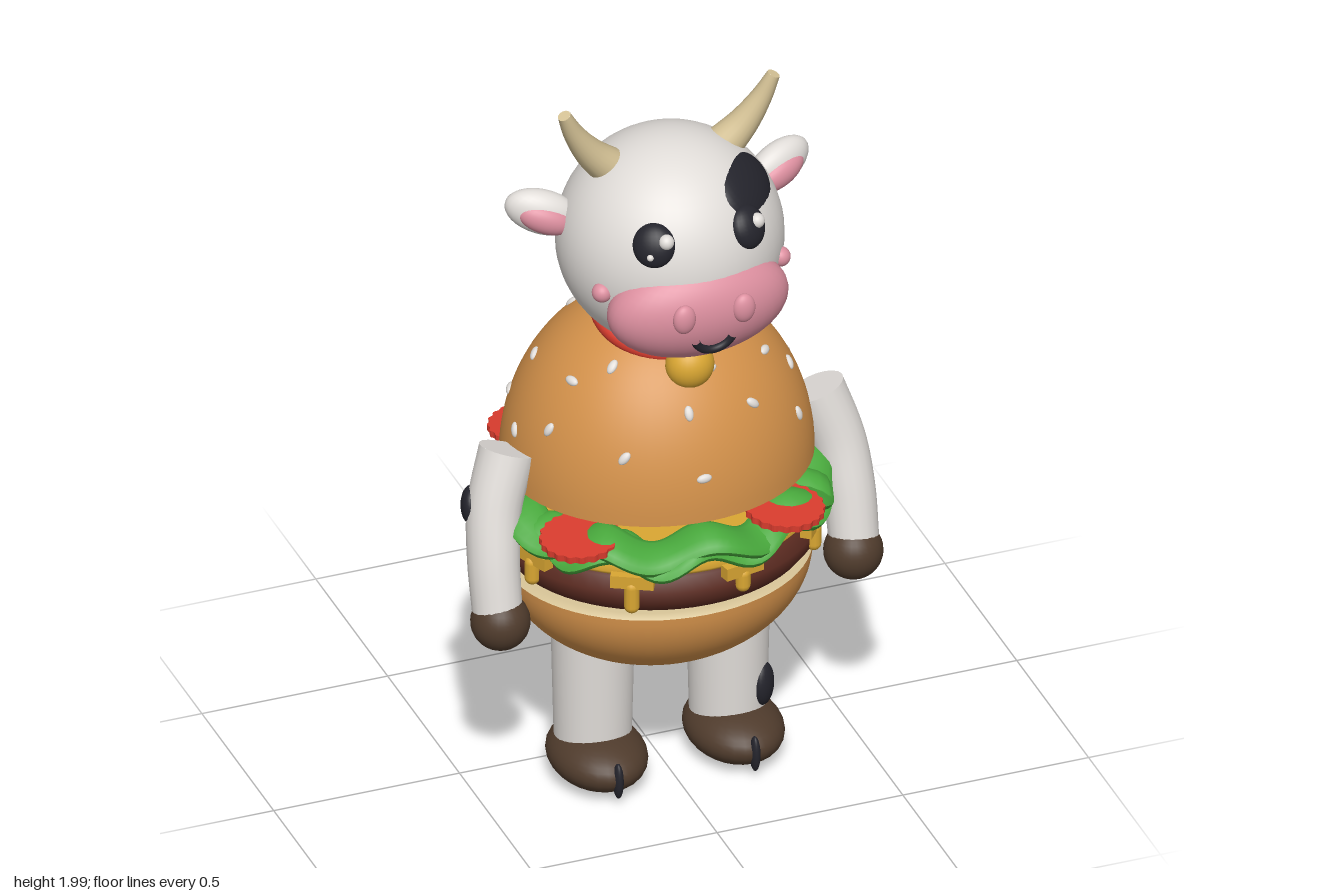
import * as THREE from 'three';
import { mergeGeometries } from 'three/addons/utils/BufferGeometryUtils.js';

const V = (x, y, z) => new THREE.Vector3(x, y, z);
const mat = (name, color) => {
  const m = new THREE.MeshStandardMaterial({ color });
  m.name = name;
  return m;
};
const CZ = 0.08; // depth centre of the burger body

// Tapered tube with flat ends along a smooth path
function taperedTube(points, r0, r1, n = 20, sides = 20) {
  const path = new THREE.CatmullRomCurve3(points.map(p => V(...p)));
  const tube = new THREE.TubeGeometry(path, n, 1, sides);
  const pos = tube.attributes.position, v = V(0, 0, 0);
  for (let i = 0; i <= n; i++) {
    const c = path.getPointAt(i / n), r = r0 + (r1 - r0) * i / n;
    for (let j = 0; j <= sides; j++) {
      const k = i * (sides + 1) + j;
      v.fromBufferAttribute(pos, k).sub(c).multiplyScalar(r).add(c);
      pos.setXYZ(k, v.x, v.y, v.z);
    }
  }
  const cap = (u, r, sign) => {
    const p = path.getPointAt(u);
    const q = new THREE.Quaternion().setFromUnitVectors(V(0, 0, 1), path.getTangentAt(u).multiplyScalar(sign));
    return new THREE.CircleGeometry(r, sides).applyQuaternion(q).translate(p.x, p.y, p.z);
  };
  return mergeGeometries([tube, cap(0, r0, -1), cap(1, r1, 1)]);
}

// Ruffled leaf ring: a flattened torus with waves
function leafRing(phase, waves, radius, lift) {
  const g = new THREE.TorusGeometry(radius, 0.045, 12, 140).rotateX(Math.PI / 2);
  const p = g.attributes.position;
  for (let i = 0; i < p.count; i++) {
    const x = p.getX(i), z = p.getZ(i), a = Math.atan2(z, x), r = Math.hypot(x, z);
    const w = Math.sin(waves * a + phase);
    const nr = radius + (r - radius) * 1.35 + 0.012 * Math.cos(waves * a + phase * 2);
    p.setXYZ(i, Math.cos(a) * nr, p.getY(i) * 0.6 + 0.022 * w + lift - (r - radius) * 0.25, Math.sin(a) * nr * 0.935);
  }
  g.computeVertexNormals();
  return g;
}

export function createModel() {
  const white = mat('hide white', 0xe0dcd8), black = mat('charcoal', 0x24242c);
  const pink = mat('pink', 0xdc8f9f), bun = mat('bun brown', 0xd3914a);
  const red = mat('red', 0xd93c2e), green = mat('leaf green', 0x48a83c);
  const gold = mat('cheese gold', 0xd9a632), meat = mat('patty brown', 0x5a2a20);
  const hoof = mat('hoof brown', 0x4f3b2c), cream = mat('cream', 0xd8c598);

  const model = new THREE.Group();
  model.name = 'burgerCow';
  const add = (name, geo, m, pos = [0, 0, 0], rot = [0, 0, 0]) => {
    const mesh = new THREE.Mesh(geo, m);
    mesh.name = name;
    mesh.position.set(...pos);
    mesh.rotation.set(...rot);
    model.add(mesh);
    return mesh;
  };
  const ball = (name, m, pos, size, rot, seg = 28) =>
    add(name, new THREE.SphereGeometry(1, seg, Math.ceil(seg * 0.7)).scale(...size), m, pos, rot);
  const lathe = (name, pts, m, y, depth) =>
    add(name, new THREE.LatheGeometry(pts.map(p => new THREE.Vector2(...p)), 64).scale(1, 1, depth), m, [0, y, CZ]);
  // Ellipsoid whose local z axis points along a direction
  const facing = (name, m, pos, dir, size, spin = 0, seg = 24) => {
    const b = ball(name, m, pos, size, [0, 0, 0], seg);
    b.quaternion.setFromUnitVectors(V(0, 0, 1), V(...dir).normalize());
    b.rotateZ(spin);
    return b;
  };

  // Buns: quarter-ellipse domes with flat cut faces
  const dome = (r, h) => Array.from({ length: 25 }, (_, i) => {
    const a = i / 24 * Math.PI / 2;
    return [i === 24 ? 0 : r * Math.cos(a), h * Math.sin(a)];
  });
  lathe('topBun', dome(0.4, 0.47), bun, 0.9, 0.935);
  add('topBunCutFace', new THREE.CircleGeometry(0.4, 64).rotateX(Math.PI / 2).scale(1, 1, 0.935), bun, [0, 0.9, CZ]);
  lathe('bottomBun', dome(0.397, -0.275).reverse(), bun, 0.615, 0.9);
  lathe('bottomBunCutFace', [[0.397, 0], [0.38, 0.012], [0, 0.012]], cream, 0.615, 0.9);

  // Sesame seeds, as angle around the bun and height
  const seeds = [[-0.09, 1.18], [-0.57, 1.08], [-0.03, 1.02], [0.47, 1.16], [0.92, 1.06], [-0.82, 1.27],
    [0.94, 1.23], [-1.17, 1.22], [-1.57, 1.04], [1.18, 1.155], [1.7, 1.09], [2.05, 1.16], [2.36, 1.255],
    [2.62, 1.08], [1.67, 1.235], [-2.95, 1.06], [2.85, 1.127], [-2.77, 1.17], [-3, 1.24], [-2.39, 1.276],
    [-2.02, 1.066], [-1.87, 1.197], [-1.2, 1.1], [0.2, 1.26]];
  seeds.forEach(([a, y], i) => {
    const h = (y - 0.9) / 0.47, s = Math.sqrt(1 - h * h), x = s * Math.sin(a), z = s * Math.cos(a);
    facing('sesameSeed', white, [0.4 * x, y, CZ + 0.374 * z], [x / 0.4, h / 0.47, z / 0.374],
      [0.012, 0.02, 0.009], i * 2.4, 12);
  });

  // Patty
  lathe('patty', [[0, 0.635], [0.34, 0.635], [0.39, 0.65], [0.413, 0.68], [0.415, 0.71], [0.395, 0.745], [0.35, 0.765], [0, 0.765]],
    meat, 0, 0.94);

  // Cheese slice with drips over the patty edge
  lathe('cheese', [[0, 0.755], [0.4, 0.755], [0.412, 0.768], [0.4, 0.782], [0, 0.782]], gold, 0, 0.935);
  for (let i = 0; i < 9; i++) {
    const a = 0.2 + i * Math.PI * 2 / 9, x = 0.415 * Math.sin(a), z = CZ + 0.392 * Math.cos(a);
    add('cheeseFlap', new THREE.BoxGeometry(0.11, 0.035, 0.03), gold, [x, 0.752, z], [0, a, 0]);
    const len = 0.03 + 0.012 * (i % 3);
    add('cheeseDrip', new THREE.CapsuleGeometry(0.02, len, 6, 12), gold, [x * 1.01, 0.733 - len / 2, z], [0, a, 0]);
  }

  // Lettuce and tomato slices
  add('lettuceUpper', leafRing(0, 9, 0.395, 0.825), green, [0, 0, CZ]);
  add('lettuceLower', leafRing(2.6, 11, 0.39, 0.805), green, [0, 0, CZ]);
  const slice = new THREE.Shape(Array.from({ length: 120 }, (_, i) => {
    const a = i / 120 * Math.PI * 2, r = 0.1 + 0.003 * Math.cos(20 * a);
    return new THREE.Vector2(r * Math.cos(a), r * Math.sin(a));
  }));
  const sliceGeo = new THREE.ExtrudeGeometry(slice, { depth: 0.018, bevelEnabled: false }).rotateX(-Math.PI / 2);
  [[-0.23, -0.22], [0.335, -0.145], [-0.305, 0.335], [0.225, 0.385]].forEach(([x, z]) =>
    add('tomatoSlice', sliceGeo, red, [x, 0.842, z], [(z - CZ) * 0.2, 0, -x * 0.2]));

  // Neck, collar and bell
  add('neck', new THREE.CylinderGeometry(0.13, 0.14, 0.16, 32), white, [0, 1.35, 0.12]);
  add('collar', new THREE.TorusGeometry(0.16, 0.025, 14, 48).rotateX(Math.PI / 2), red, [0, 1.34, 0.115], [0.27, 0, 0]);
  ball('bell', gold, [0, 1.28, 0.31], [0.063, 0.063, 0.055]);

  // Head, muzzle and face
  ball('head', white, [0, 1.587, 0.17], [0.29, 0.288, 0.282], [0, 0, 0], 48);
  ball('muzzle', pink, [0, 1.495, 0.365], [0.24, 0.145, 0.122], [0.2, 0, 0], 40);
  add('mouth', new THREE.TorusGeometry(0.052, 0.011, 10, 24, Math.PI * 0.8).rotateZ(Math.PI * 1.1), black,
    [0, 1.468, 0.482], [0.2, 0, 0]);
  facing('browPatch', black, [0.15, 1.755, 0.285], [0.15, 0.17, 0.125], [0.118, 0.088, 0.04], 0.35, 32);

  for (const s of [-1, 1]) {
    ball('nostril', pink, [s * 0.08, 1.525, 0.48], [0.03, 0.04, 0.02]);
    ball('cheek', pink, [s * 0.24, 1.55, 0.32], [0.026, 0.026, 0.026]);
    facing('eye', black, [s * 0.125, 1.7, 0.385], [s * 0.13, 0.11, 0.22], [0.055, 0.058, 0.035]);
    ball('eyeGlint', white, [s * 0.125 + 0.022, 1.72, 0.405 - s * 0.008], [0.02, 0.02, 0.02]);
    ball('eyeGlintSmall', white, [s * 0.125 - 0.022, 1.685, 0.416], [0.009, 0.009, 0.009]);
    add('horn', taperedTube([[s * 0.135, 1.785, 0.145], [s * 0.205, 1.855, 0.15], [s * 0.252, 1.925, 0.157], [s * 0.282, 1.99, 0.165]],
      0.054, 0.017), cream);
    ball('ear', white, [s * 0.315, 1.678, 0.1], [0.1, 0.06, 0.045], [0, s * 0.3, s * 0.35]);
    ball('innerEar', pink, [s * 0.315, 1.67, 0.122], [0.075, 0.04, 0.035], [0, s * 0.3, s * 0.35]);

    // Arms and hands
    add('arm', taperedTube([[s * 0.415, 1.01, 0.115], [s * 0.462, 0.87, 0.145], [s * 0.478, 0.74, 0.18], [s * 0.48, 0.61, 0.21]],
      0.074, 0.064), white);
    ball('handHoof', hoof, [s * 0.475, 0.578, 0.22], [0.076, 0.076, 0.076]);

    // Legs and feet
    add('leg', new THREE.CylinderGeometry(0.107, 0.098, 0.38, 32), white, [s * 0.182, 0.29, 0.105]);
    ball('footHoof', hoof, [s * 0.184, 0.083, 0.138], [0.124, 0.074, 0.163]);
    ball('hoofCleft', black, [s * 0.184, 0.08, 0.288], [0.013, 0.05, 0.02]);
  }

  // Hide patches on one arm and one leg
  facing('armPatch', black, [-0.515, 0.87, 0.115], [-0.9, 0, -0.4], [0.045, 0.05, 0.025]);
  facing('legPatch', black, [0.252, 0.205, 0.17], [0.7, 0, 0.65], [0.04, 0.06, 0.025]);

  // Tail with tuft
  add('tail', taperedTube([[0, 0.79, -0.28], [0.01, 0.73, -0.355], [0.02, 0.62, -0.41], [0.03, 0.47, -0.45]], 0.024, 0.02), white);
  ball('tailTuft', black, [0.03, 0.427, -0.453], [0.064, 0.095, 0.063]);

  return model;
}
